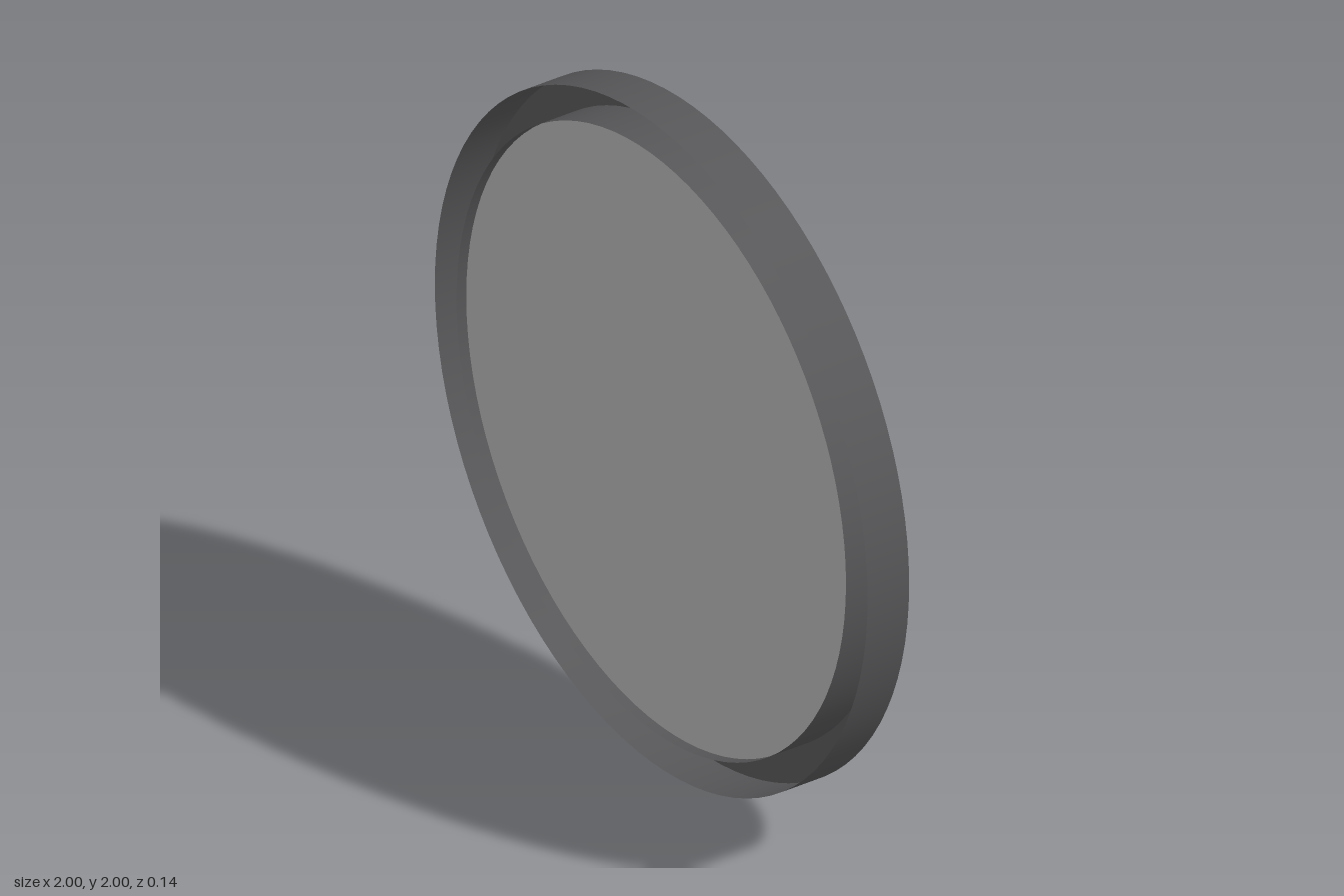
import * as THREE from 'three';

export function createModel() {
  const model = new THREE.Group();
  model.name = 'dialGauge';

  const flat = (name, color) => {
    const m = new THREE.MeshStandardMaterial({ color, side: THREE.DoubleSide });
    m.name = name;
    return m;
  };
  const casing = flat('dark grey casing', 0x58585a);
  const face = flat('light grey face', 0xb4b4b4);
  const black = flat('black needle', 0x2a2a2a);

  const R = 1, INNER = 0.9, HALF = 0.068, SEG = 96;

  const add = (name, geometry, material, z = 0) => {
    const mesh = new THREE.Mesh(geometry, material);
    mesh.name = name;
    mesh.position.set(0, R, z);
    model.add(mesh);
    return mesh;
  };

  // Thin open wall running along z
  const wall = (radius) =>
    new THREE.CylinderGeometry(radius, radius, HALF * 2, SEG, 1, true).rotateX(Math.PI / 2);

  // Casing: two walls joined by a rim at the back, leaving a groove open to the front
  add('outerWall', wall(R), casing);
  add('innerWall', wall(INNER), casing);
  add('backRim', new THREE.RingGeometry(INNER, R, SEG), casing, -HALF);

  // Dial face, set between the walls
  add('dialFace', new THREE.CircleGeometry(INNER, SEG), face, 0.036);

  // Flat tapered needle behind the dial face
  const half = [[-0.175, 0.027], [0.022, 0.037], [0.74, 0.015]];
  const outline = [
    ...half.map(([u, v]) => new THREE.Vector2(u, -v)),
    ...half.map(([u, v]) => new THREE.Vector2(u, v)).reverse(),
  ];
  const needle = add('needle', new THREE.ShapeGeometry(new THREE.Shape(outline)), black, 0.003);
  needle.rotation.z = THREE.MathUtils.degToRad(129);

  return model;
}
